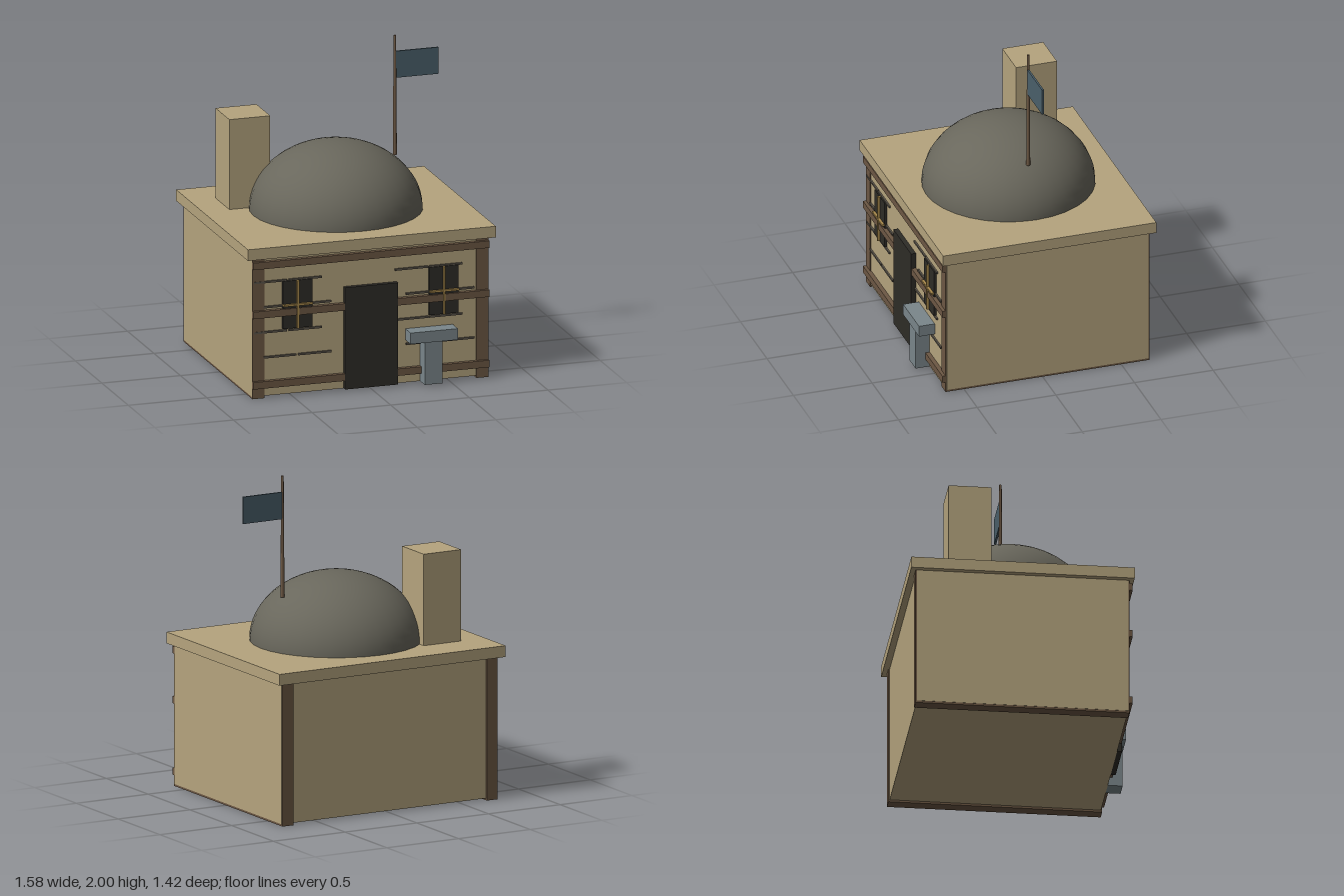
import * as THREE from 'three';

const mat = (color) => new THREE.MeshStandardMaterial({ color });

export function createModel() {
  const model = new THREE.Group();
  const plaster = mat(0xb5a47e), timber = mat(0x6d5844), dark = mat(0x2e2c27);
  const stone = mat(0x7b878b), slate = mat(0x69675c), gold = mat(0xa98a4c);
  const mortar = mat(0x5c564c), cloth = mat(0x4b606b);

  const add = (name, geometry, material, x, y, z) => {
    const mesh = new THREE.Mesh(geometry, material);
    mesh.name = name;
    mesh.position.set(x, y, z);
    model.add(mesh);
    return mesh;
  };
  // box given by its extents on each axis
  const box = (name, material, [x0, x1], [y0, y1], [z0, z1]) =>
    add(name, new THREE.BoxGeometry(x1 - x0, y1 - y0, z1 - z0), material,
      (x0 + x1) / 2, (y0 + y1) / 2, (z0 + z1) / 2);

  // body and roof slab
  box('walls', plaster, [-0.752, 0.752], [0.013, 0.88], [-0.672, 0.61]);
  box('roofSlab', plaster, [-0.788, 0.788], [0.88, 0.95], [-0.71, 0.645]);
  box('chimney', plaster, [-0.62, -0.36], [0.9, 1.515], [-0.465, -0.205]);

  // flattened dome
  const dome = add('dome',
    new THREE.SphereGeometry(0.525, 32, 16, 0, Math.PI * 2, 0, Math.PI / 2),
    slate, 0, 0.95, -0.035);
  dome.scale.y = 0.8;

  // timber frame: side frames show at the front, back and underside
  for (const s of [-1, 1]) {
    box('sideFrame', timber, s < 0 ? [-0.75, -0.675] : [0.675, 0.75],
      [0, 0.88], [-0.68, 0.617]);
  }
  for (const y of [0.088, 0.53, 0.838]) {
    box('crossBeam', timber, [-0.75, 0.75], [y - 0.022, y + 0.022], [0.6, 0.637]);
  }

  // door
  box('door', dark, [-0.168, 0.168], [0.013, 0.652], [0.6, 0.64]);

  // windows with glazing bars
  for (const x of [-0.466, 0.464]) {
    box('window', dark, [x - 0.093, x + 0.093], [0.425, 0.725], [0.6, 0.627]);
    box('verticalBar', gold, [x - 0.006, x + 0.006], [0.425, 0.725], [0.61, 0.643]);
    box('horizontalBar', gold, [x - 0.093, x + 0.093], [0.568, 0.58], [0.61, 0.643]);
  }

  // staggered mortar courses
  [0.255, 0.413, 0.57, 0.728].forEach((y, row) => {
    const starts = row % 2 ? [-0.635, -0.415, 0.262, 0.48] : [-0.575, -0.353, 0.332, 0.555];
    for (const x of starts) {
      box('mortarLine', mortar, [x - 0.105, x + 0.105], [y - 0.006, y + 0.006], [0.6, 0.62]);
    }
  });

  // stone basin on a pedestal
  box('pedestal', stone, [0.318, 0.43], [0.013, 0.28], [0.61, 0.7]);
  box('basin', stone, [0.224, 0.525], [0.28, 0.35], [0.61, 0.71]);

  // flagpole and flag
  add('flagpole', new THREE.CylinderGeometry(0.008, 0.013, 0.75, 8), timber, 0.375, 1.625, -0.035);
  box('flag', cloth, [0.38, 0.65], [1.733, 1.9], [-0.041, -0.029]);

  return model;
}
